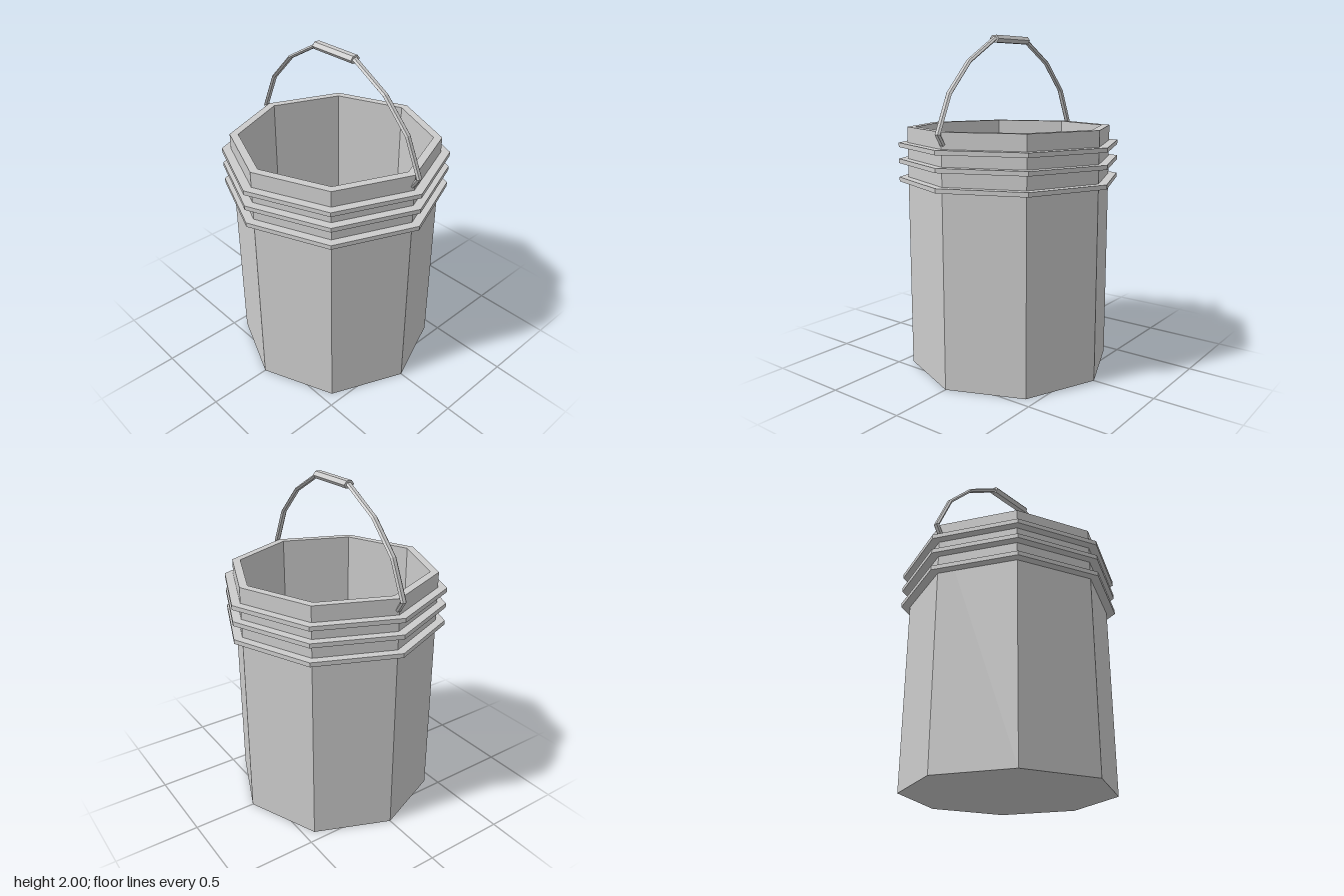
import * as THREE from 'three';

const SIDES = 8;
const grey = new THREE.MeshStandardMaterial({ color: 0xcccccc, flatShading: true });

// Named mesh turned around the y axis from a [radius, height] profile
function turned(name, profile) {
  const points = profile.map(([r, y]) => new THREE.Vector2(r, y));
  const mesh = new THREE.Mesh(new THREE.LatheGeometry(points, SIDES), grey);
  mesh.name = name;
  return mesh;
}

// Six-sided bar swept along an [x, y] path with mitred bends and capped ends;
// rn is its radius in the plane of the path, rz its radius along z
function bar(name, path, rn, rz) {
  const pts = path.map(([x, y]) => new THREE.Vector2(x, y));
  const last = pts.length - 1;
  const dir = (i) => pts[i + 1].clone().sub(pts[i]).normalize();
  const position = [], index = [];
  pts.forEach((p, i) => {
    const before = dir(Math.max(i - 1, 0));
    const after = dir(Math.min(i, last - 1));
    const t = before.clone().add(after).normalize();
    const miter = rn / t.dot(after);
    for (let j = 0; j < 6; j++) {
      const a = Math.PI / 6 + (j * Math.PI) / 3;
      const n = Math.cos(a) * miter;
      position.push(p.x - t.y * n, p.y + t.x * n, Math.sin(a) * rz);
    }
  });
  for (let i = 0; i < last; i++) {
    for (let j = 0; j < 6; j++) {
      const a = i * 6 + j, b = i * 6 + ((j + 1) % 6);
      index.push(a, b, b + 6, a, b + 6, a + 6);
    }
  }
  const end = last * 6;
  for (let j = 1; j < 5; j++) {
    index.push(0, j + 1, j, end, end + j, end + j + 1);
  }
  const geometry = new THREE.BufferGeometry();
  geometry.setAttribute('position', new THREE.Float32BufferAttribute(position, 3));
  geometry.setIndex(index);
  geometry.computeVertexNormals();
  const mesh = new THREE.Mesh(geometry, grey);
  mesh.name = name;
  return mesh;
}

export function createModel() {
  const bucket = new THREE.Group();
  bucket.name = 'bucket';

  // Hollow body: underside, outer wall, rim, inner wall, floor
  bucket.add(turned('body', [
    [0, 0], [0.617, 0], [0.617, 1.472], [0.567, 1.472], [0.567, 0.05], [0, 0.05],
  ]));

  // Three stiffening rings below the rim
  [1.366, 1.27, 1.16].forEach((y, i) => {
    const h = 0.013;
    bucket.add(turned(`ring${i + 1}`, [
      [0.6, y - h], [0.67, y - h], [0.67, y + h], [0.6, y + h],
    ]));
  });

  // Bail handle, hooked into the wall at both ends
  const half = [[0.15, 1.98], [0.38, 1.848], [0.547, 1.675], [0.644, 1.46], [0.605, 1.4]];
  const mirrored = half.map(([x, y]) => [-x, y]).reverse();
  const handle = new THREE.Group();
  handle.name = 'handle';
  handle.add(bar('handleWire', [...mirrored, ...half], 0.0115, 0.02));
  handle.add(bar('handleGrip', [[-0.153, 1.979], [0.153, 1.979]], 0.0243, 0.033));
  bucket.add(handle);

  return bucket;
}
